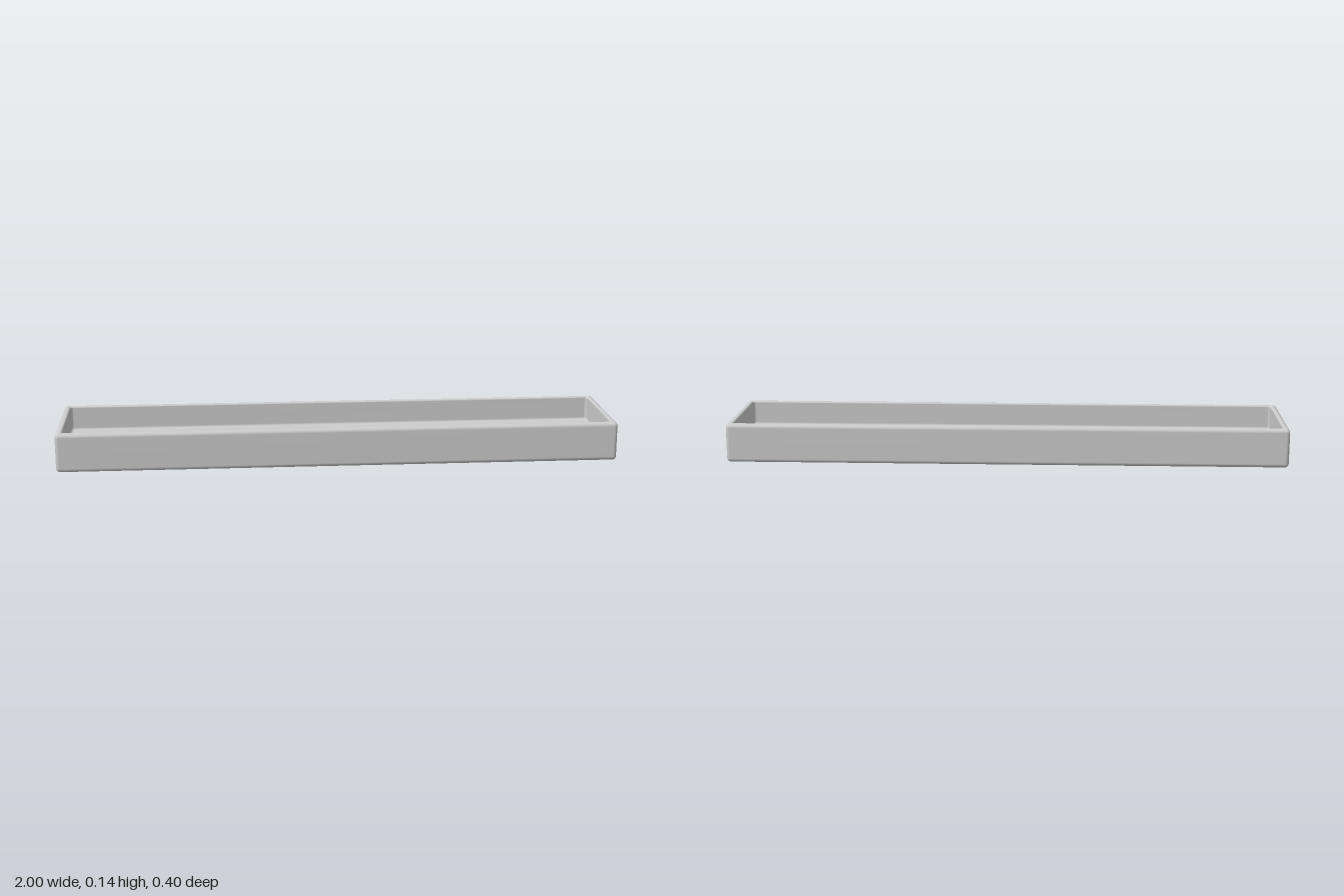
import * as THREE from 'three';

const HALF_X = 1, HALF_Z = 0.202, HEIGHT = 0.14;
const WALL = 0.024, FLOOR = 0.05;
const OUTER_R = 0.014, RIM_R = 0.006, INNER_R = 0.01;
const STEPS = 5; // segments per rounded edge

// Rounded rectangle around the tray: inset from the outer wall, height, corner radius
function ring(inset, y, r) {
  const points = [];
  const cx = HALF_X - inset - r, cz = HALF_Z - inset - r;
  [[1, 1], [-1, 1], [-1, -1], [1, -1]].forEach(([sx, sz], corner) => {
    for (let k = 0; k <= STEPS; k++) {
      const a = (corner + k / STEPS) * Math.PI / 2;
      points.push(sx * cx + r * Math.cos(a), y, sz * cz + r * Math.sin(a));
    }
  });
  return points;
}

// Wall section from the underside, over the rim and down to the inner floor
function wallSection() {
  const section = [];
  const arc = (cx, cy, r, from, to, cornerRadius) => {
    for (let k = 0; k <= STEPS; k++) {
      const a = THREE.MathUtils.lerp(from, to, k / STEPS);
      const inset = cx + r * Math.cos(a);
      section.push([inset, cy + r * Math.sin(a), Math.max(cornerRadius(inset), 0.0005)]);
    }
  };
  const { PI } = Math;
  const outer = inset => OUTER_R - inset;
  arc(OUTER_R, OUTER_R, OUTER_R, 1.5 * PI, PI, outer);              // bottom edge
  arc(OUTER_R, HEIGHT - OUTER_R, OUTER_R, PI, PI / 2, outer);       // outer rim edge
  arc(WALL - RIM_R, HEIGHT - RIM_R, RIM_R, PI / 2, 0,
    inset => INNER_R * (inset - WALL + RIM_R) / RIM_R);             // inner rim edge
  arc(WALL + INNER_R, FLOOR + INNER_R, INNER_R, PI, 1.5 * PI,
    inset => INNER_R + WALL - inset);                               // floor fillet
  return section;
}

function trayGeometry() {
  const section = wallSection();
  const n = 4 * (STEPS + 1);
  const positions = section.flatMap(s => ring(...s));
  const index = [];
  for (let i = 0; i < section.length - 1; i++) {
    for (let j = 0; j < n; j++) {
      const a = i * n + j, b = i * n + (j + 1) % n;
      index.push(a, a + n, b, b, a + n, b + n);
    }
  }
  // Underside and inner floor
  const last = (section.length - 1) * n, under = section.length * n;
  positions.push(0, 0, 0, 0, FLOOR, 0);
  for (let j = 0; j < n; j++) {
    const k = (j + 1) % n;
    index.push(under, j, k, under + 1, last + k, last + j);
  }
  const geometry = new THREE.BufferGeometry();
  geometry.setAttribute('position', new THREE.Float32BufferAttribute(positions, 3));
  geometry.setIndex(index);
  geometry.computeVertexNormals();
  return geometry;
}

export function createModel() {
  const group = new THREE.Group();
  group.name = 'tray';
  const body = new THREE.Mesh(trayGeometry(), new THREE.MeshStandardMaterial({ color: 0xcccccc }));
  body.name = 'trayBody';
  group.add(body);
  return group;
}
